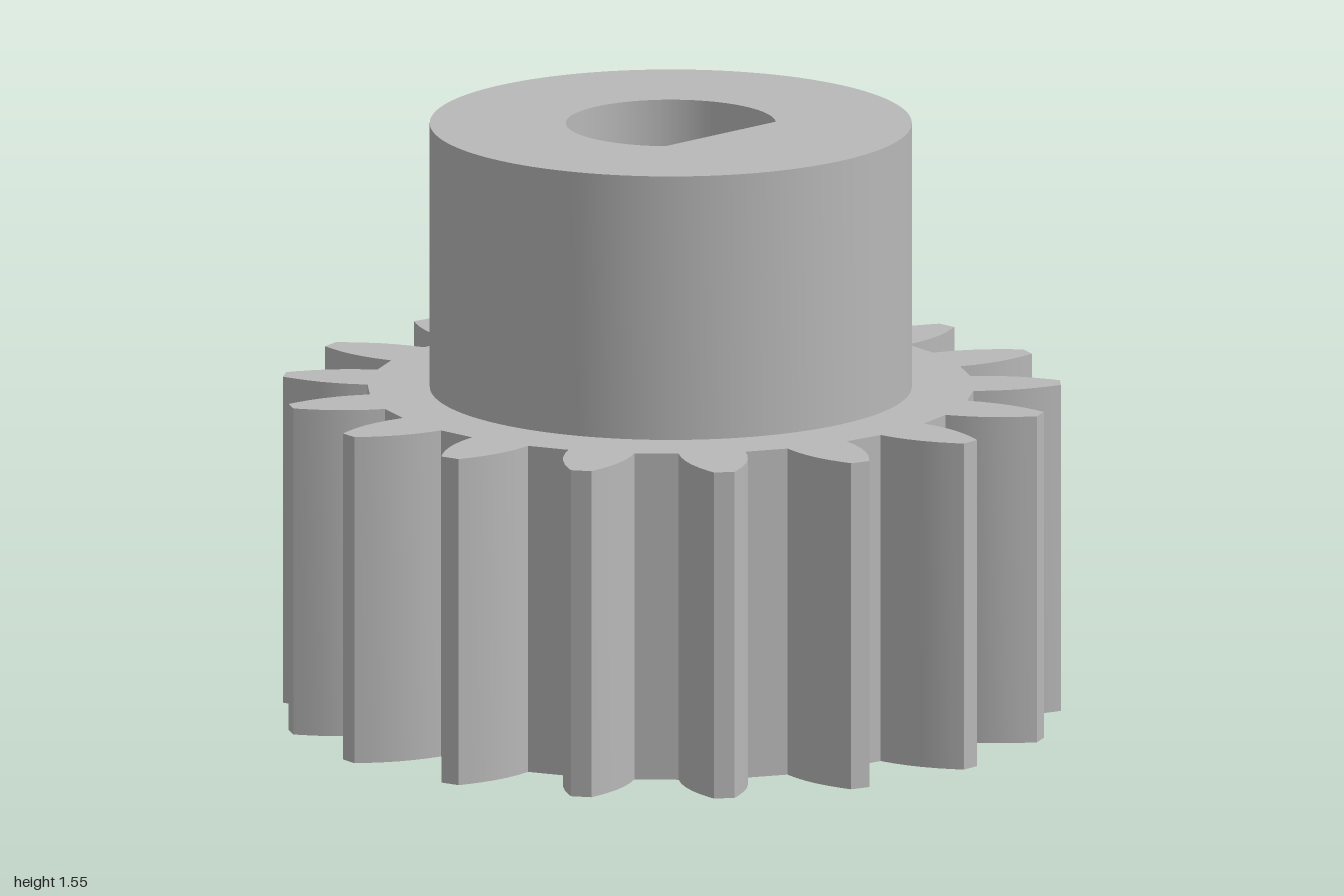
import * as THREE from 'three';
import { toCreasedNormals } from 'three/addons/utils/BufferGeometryUtils.js';

const TEETH = 17;
const GEAR_HEIGHT = 0.86;
const TOTAL_HEIGHT = 1.555;
const HUB_RADIUS = 0.62;
const BORE_RADIUS = 0.27;
const BORE_FLAT = 0.18; // distance from the axis to the flat of the D-shaped bore

// Tooth flank from root to tip: [radius, half width]
const FLANK = [
  [0.775, 0.087], [0.82, 0.086], [0.86, 0.081], [0.9, 0.072],
  [0.94, 0.058], [0.975, 0.042], [1.003, 0.027],
];

// D-shaped shaft hole, flat side to the front
function borePath() {
  const a = Math.asin(BORE_FLAT / BORE_RADIUS);
  const path = new THREE.Path();
  path.absarc(0, 0, BORE_RADIUS, -a, Math.PI + a, false);
  path.closePath();
  return path;
}

// Toothed outline, walked counter-clockwise up one flank and down the other
function gearShape() {
  const points = [];
  const add = (angle, r, side) => {
    const c = Math.cos(angle), s = Math.sin(angle);
    points.push(new THREE.Vector2(r * c - side * s, r * s + side * c));
  };
  for (let i = 0; i < TEETH; i++) {
    const angle = (i / TEETH) * Math.PI * 2;
    FLANK.forEach(([r, w]) => add(angle, r, -w));
    [...FLANK].reverse().forEach(([r, w]) => add(angle, r, w));
  }
  return new THREE.Shape(points);
}

function hubShape() {
  const shape = new THREE.Shape();
  shape.absarc(0, 0, HUB_RADIUS, 0, Math.PI * 2, false);
  return shape;
}

// Extrude a bored outline upward between two heights
function boredPart(name, shape, bottom, top, material) {
  shape.holes.push(borePath());
  const solid = new THREE.ExtrudeGeometry(shape, {
    depth: top - bottom, bevelEnabled: false, curveSegments: 72,
  });
  solid.rotateX(-Math.PI / 2);
  const mesh = new THREE.Mesh(toCreasedNormals(solid, 0.5), material);
  mesh.name = name;
  mesh.position.set(-0.01, bottom, 0);
  return mesh;
}

export function createModel() {
  const steel = new THREE.MeshStandardMaterial({ color: 0xb8b8b8 });
  steel.name = 'steel grey';

  const model = new THREE.Group();
  model.name = 'pinionGear';
  model.add(
    boredPart('toothedWheel', gearShape(), 0, GEAR_HEIGHT, steel),
    boredPart('hub', hubShape(), GEAR_HEIGHT, TOTAL_HEIGHT, steel),
  );
  return model;
}
